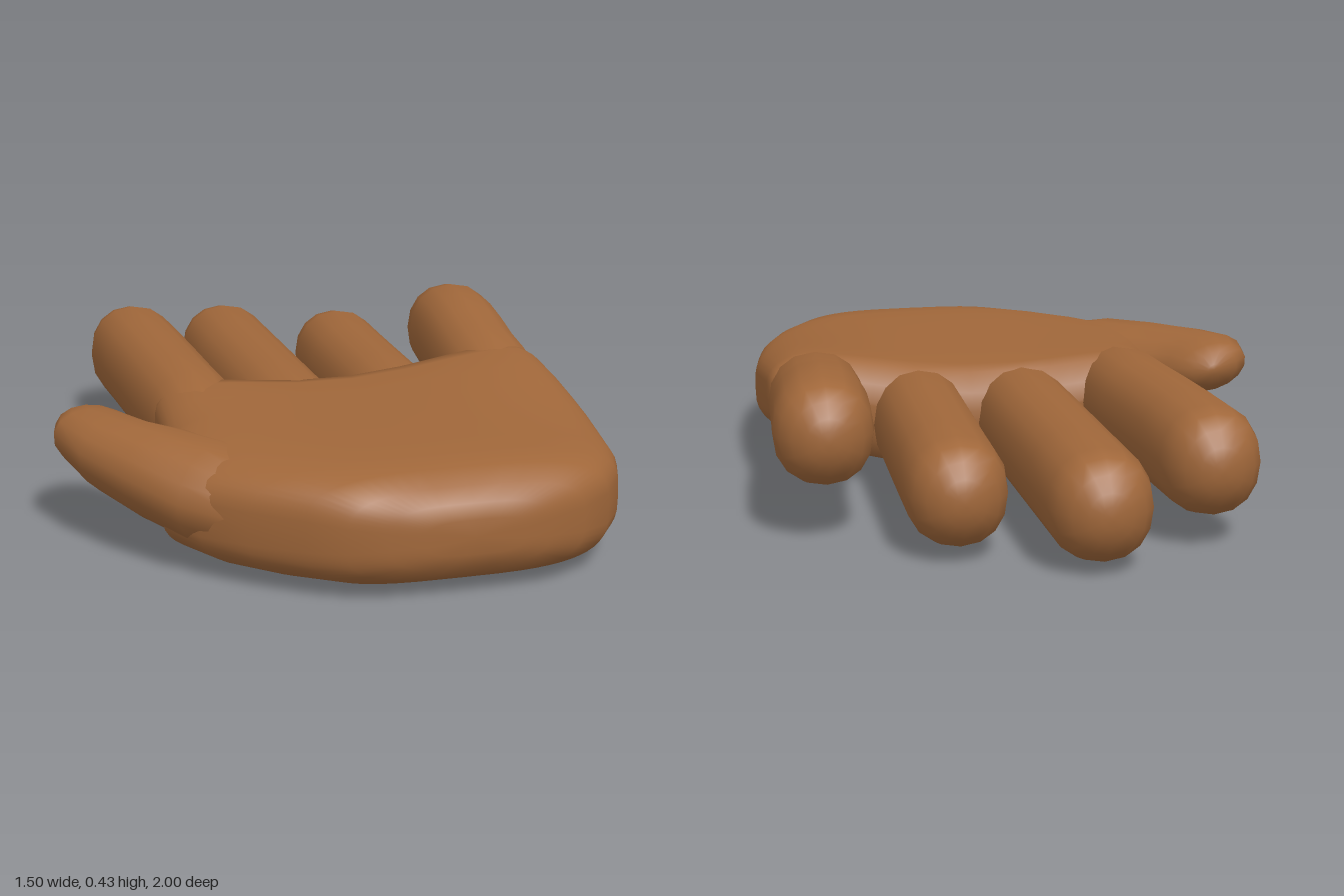
import * as THREE from 'three';

const skin = new THREE.MeshStandardMaterial({ color: 0xa0673a });

// Smooth closed skin over upright cross-sections
// [x, y, z, halfWidth, halfHeight, turn in plan, roll].
// power > 2 squares the section off; bend shifts the finished points in height.
function loft(name, rows, sides, power = 2, bend = () => 0) {
  const pos = [], index = [], n = rows.length;
  const add = (x, y, z) => pos.push(x, y + bend(x, z), z);
  const sp = v => Math.sign(v) * Math.abs(v) ** (2 / power);
  for (const [x, y, z, w, h, turn = 0, roll = 0] of rows) {
    for (let j = 0; j < sides; j++) {
      const t = (j / sides) * Math.PI * 2;
      const u = w * sp(Math.cos(t)), v = h * sp(Math.sin(t));
      const s = u * Math.cos(roll) - v * Math.sin(roll);
      add(x + Math.cos(turn) * s, y + u * Math.sin(roll) + v * Math.cos(roll), z - Math.sin(turn) * s);
    }
  }
  for (let i = 0; i < n - 1; i++) {
    for (let j = 0; j < sides; j++) {
      const k = (j + 1) % sides, p = i * sides, q = p + sides;
      index.push(p + j, q + j, p + k, p + k, q + j, q + k);
    }
  }
  // end caps
  const c = n * sides, last = (n - 1) * sides;
  add(...rows[0].slice(0, 3));
  add(...rows[n - 1].slice(0, 3));
  for (let j = 0; j < sides; j++) {
    const k = (j + 1) % sides;
    index.push(c, j, k, c + 1, last + k, last + j);
  }
  const geo = new THREE.BufferGeometry();
  geo.setAttribute('position', new THREE.Float32BufferAttribute(pos, 3));
  geo.setIndex(index);
  geo.computeVertexNormals();
  const mesh = new THREE.Mesh(geo, skin);
  mesh.name = name;
  return mesh;
}

// Finger: tube from inside the palm with a domed tip
function finger(name, x0, x1, yRoot, yBase, yTip, zTip, w, h) {
  const rows = [[x0, yRoot, 0.32, w * 0.8, h * 0.75], [x0, (yRoot + yBase) / 2, 0.15, w * 0.95, h * 0.92]];
  const dome = 0.13, zEnd = zTip + dome;
  for (let i = 0; i <= 4; i++) {
    const t = i / 4;
    const y = THREE.MathUtils.lerp(yBase, yTip, THREE.MathUtils.smoothstep(t, 0, 0.8));
    rows.push([x0 + (x1 - x0) * t, y, zEnd * t, w, h]);
  }
  for (const a of [0.45, 0.85, 1.2, 1.42]) {
    const c = Math.cos(a) ** 0.85;
    rows.push([x1, yTip, zEnd - dome * Math.sin(a), w * c, h * c]);
  }
  rows.push([x1, yTip, zTip, w * 0.05, h * 0.05]);
  return loft(name, rows, 16, 2.2);
}

// Palm rises towards the outer fingers
function cup(x, z) {
  const s = 1 - THREE.MathUtils.smoothstep(z, -0.1, 0.75);
  const r = Math.max(0, x - 0.15) / 0.43, l = Math.max(0, -0.02 - x) / 0.32;
  return s * (0.085 * Math.min(r ** 1.4, 1.15) + 0.05 * Math.min(l ** 1.3, 1.1));
}

export function createModel() {
  const hand = new THREE.Group();
  hand.name = 'hand';

  // Palm: z, left edge, right edge, bottom, top
  const palm = [
    [1.0, 0.04, 0.3, 0.12, 0.21],
    [0.99, -0.05, 0.37, 0.085, 0.25],
    [0.96, -0.15, 0.47, 0.05, 0.285],
    [0.9, -0.24, 0.56, 0.022, 0.315],
    [0.8, -0.36, 0.63, 0.01, 0.322],
    [0.7, -0.46, 0.67, 0.005, 0.325],
    [0.58, -0.53, 0.69, 0.002, 0.325],
    [0.45, -0.52, 0.705, 0, 0.323],
    [0.33, -0.47, 0.71, 0.002, 0.32],
    [0.2, -0.45, 0.712, 0.006, 0.318],
    [0.07, -0.44, 0.71, 0.015, 0.315],
    [0.01, -0.43, 0.705, 0.03, 0.305],
    [-0.02, -0.4, 0.68, 0.08, 0.25],
    [-0.03, -0.36, 0.62, 0.13, 0.2],
  ].map(([z, l, r, b, t]) => [(l + r) / 2, (b + t) / 2, z, (r - l) / 2, (t - b) / 2]);
  hand.add(loft('palm', palm, 56, 3.4, cup));

  // Fingers
  hand.add(
    finger('indexFinger', -0.315, -0.342, 0.18, 0.208, 0.22, -0.85, 0.132, 0.145),
    finger('middleFinger', -0.015, -0.015, 0.16, 0.165, 0.165, -1.0, 0.135, 0.145),
    finger('ringFinger', 0.287, 0.312, 0.17, 0.175, 0.17, -0.825, 0.132, 0.143),
    finger('littleFinger', 0.578, 0.618, 0.19, 0.245, 0.288, -0.61, 0.132, 0.142),
  );

  // Thumb sweeping out of the heel of the palm
  hand.add(loft('thumb', [
    [-0.15, 0.165, 0.78, 0.08, 0.07, 0.85],
    [-0.25, 0.17, 0.68, 0.15, 0.12, 0.8],
    [-0.38, 0.185, 0.56, 0.18, 0.135, 0.75, -0.1],
    [-0.49, 0.205, 0.43, 0.165, 0.122, 0.6, -0.2],
    [-0.575, 0.225, 0.32, 0.142, 0.105, 0.4, -0.25],
    [-0.618, 0.245, 0.22, 0.134, 0.085, 0.15, -0.25],
    [-0.62, 0.25, 0.15, 0.11, 0.07, 0, -0.25],
    [-0.62, 0.255, 0.11, 0.07, 0.05, 0, -0.25],
    [-0.615, 0.255, 0.095, 0.02, 0.015, 0, -0.25],
  ], 16));
  return hand;
}
